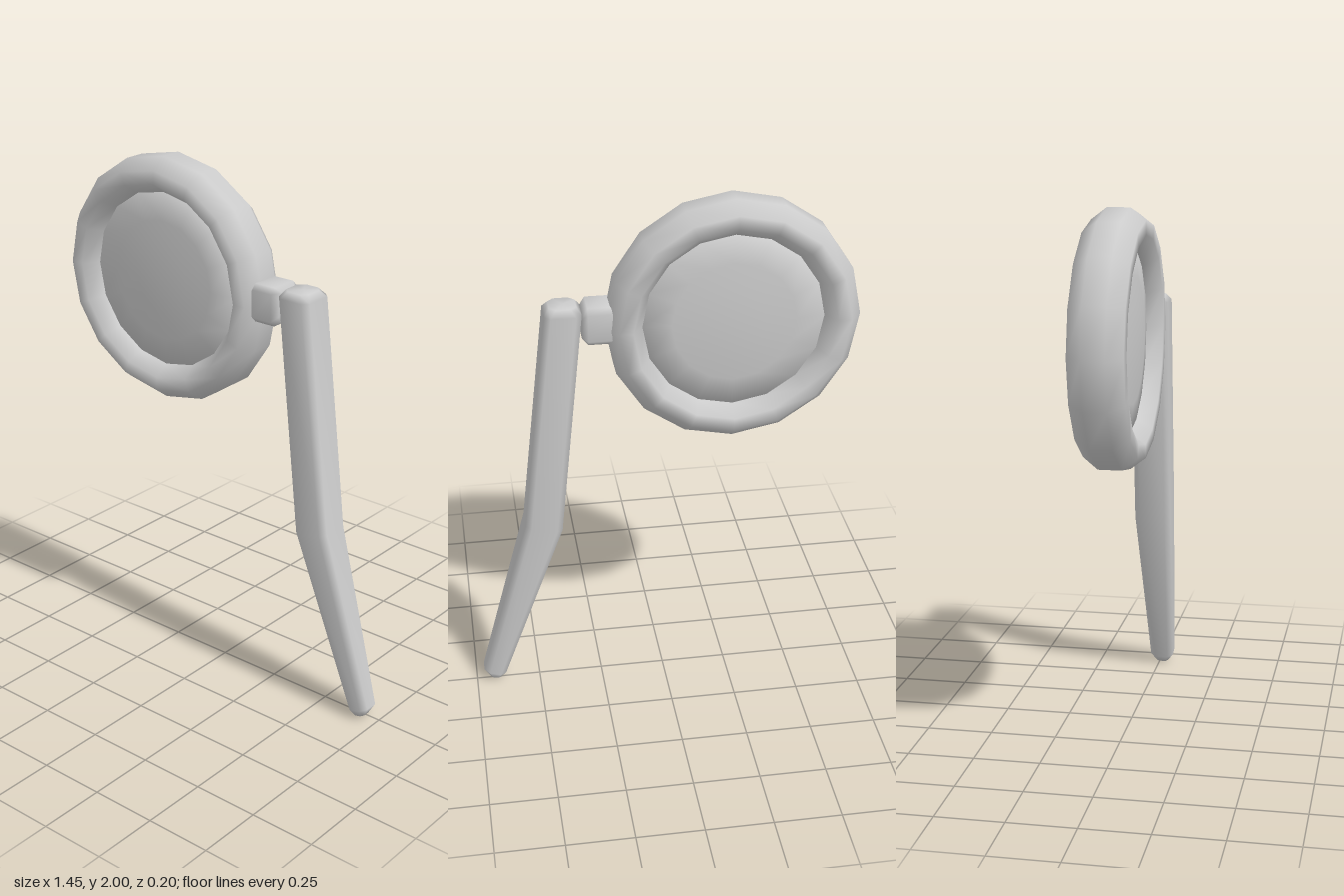
import * as THREE from 'three';
import { mergeVertices } from 'three/addons/utils/BufferGeometryUtils.js';

const material = new THREE.MeshStandardMaterial({ color: 0xcccccc });
const CENTER = [-0.257, 1.532, 0];

function mesh(name, geometry) {
  const m = new THREE.Mesh(geometry, material);
  m.name = name;
  return m;
}

// Sixteen-sided turned part facing the front, with smooth shading
function turned(name, profile) {
  const g = new THREE.LatheGeometry(profile.map(([r, y]) => new THREE.Vector2(r, y)), 16);
  g.deleteAttribute('uv');
  g.deleteAttribute('normal');
  const merged = mergeVertices(g, 1e-4);
  merged.computeVertexNormals();
  merged.rotateX(Math.PI / 2);
  const m = mesh(name, merged);
  m.position.set(...CENTER);
  return m;
}

// Bar lofted through chamfered rectangles: [ax, ay, bx, by, half depth]
function bar(name, sections, z0, chamfer) {
  const pos = [], index = [], n = 8;
  for (const [ax, ay, bx, by, d] of sections) {
    const w = Math.hypot(bx - ax, by - ay) / 2;
    const c = Math.min(chamfer, w * 0.5, d * 0.5);
    const outline = [
      [w, -d + c], [w, d - c], [w - c, d], [c - w, d],
      [-w, d - c], [-w, c - d], [c - w, -d], [w - c, -d],
    ];
    for (const [u, z] of outline) {
      const t = (u / w + 1) / 2;
      pos.push(ax + (bx - ax) * t, ay + (by - ay) * t, z0 + z);
    }
  }
  const last = sections.length - 1;
  for (const s of [0, last]) {
    const [ax, ay, bx, by] = sections[s];
    pos.push((ax + bx) / 2, (ay + by) / 2, z0);
  }
  const c0 = sections.length * n, c1 = c0 + 1;
  for (let j = 0; j < n; j++) {
    const k = (j + 1) % n;
    for (let i = 0; i < last; i++) {
      const a = i * n + j, b = i * n + k;
      index.push(a, b, a + n, b, b + n, a + n);
    }
    index.push(c0, k, j, c1, last * n + j, last * n + k);
  }
  const g = new THREE.BufferGeometry();
  g.setAttribute('position', new THREE.Float32BufferAttribute(pos, 3));
  g.setIndex(index);
  g.computeVertexNormals();
  return mesh(name, g);
}

export function createModel() {
  const group = new THREE.Group();
  group.name = 'eyepiece';

  // Chunky rim with an octagonal section
  group.add(turned('rim', [
    [0.335, -0.042], [0.374, -0.098], [0.425, -0.098], [0.468, -0.042],
    [0.468, 0.042], [0.425, 0.098], [0.374, 0.098], [0.335, 0.042], [0.335, -0.042],
  ]));

  // Lens, gently domed on both faces
  const dome = [0, 0.12, 0.23, 0.338].map((r) => [r, 0.04 + 0.025 * (1 - (r / 0.338) ** 2)]);
  group.add(turned('lens', [
    ...dome.map(([r, y]) => [r, -y]),
    ...dome.reverse(),
  ]));

  // Hinge block between rim and arm
  group.add(bar('hinge', [
    [0.17, 1.495, 0.17, 1.6, 0.053],
    [0.19, 1.477, 0.19, 1.62, 0.073],
    [0.275, 1.477, 0.275, 1.62, 0.073],
    [0.295, 1.495, 0.295, 1.6, 0.053],
  ], 0.008, 0.02));

  // Arm, bent and tapering to a rounded tip
  group.add(bar('arm', [
    [0.312, 1.62, 0.41, 1.62, 0.053],
    [0.295, 1.595, 0.43, 1.595, 0.073],
    [0.39, 0.7, 0.53, 0.73, 0.072],
    [0.635, 0.03, 0.72, 0.055, 0.047],
    [0.655, 0.004, 0.698, 0.014, 0.025],
  ], 0.01, 0.022));

  return group;
}
